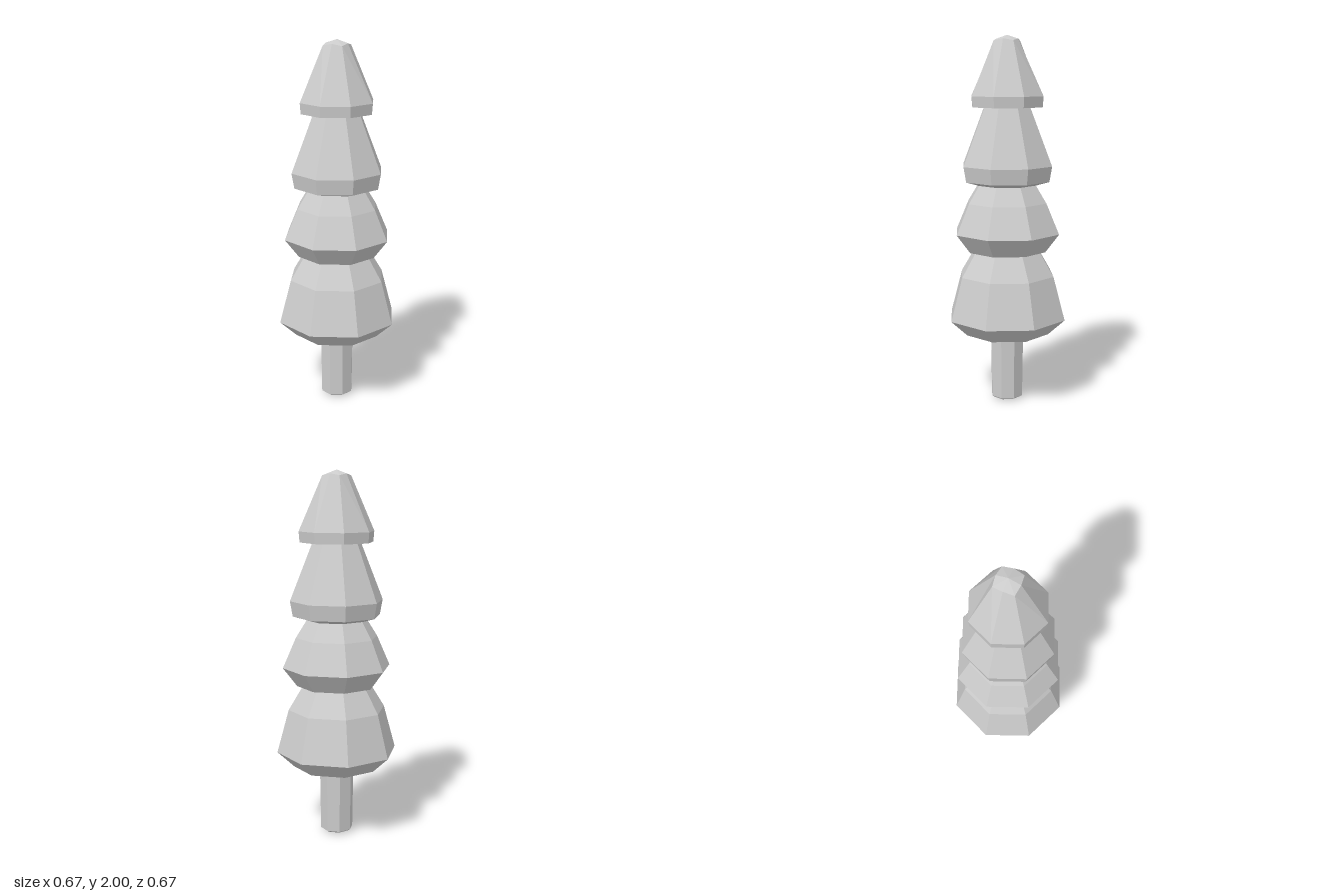
import * as THREE from 'three';

const material = new THREE.MeshStandardMaterial({ color: 0xcccccc, flatShading: true });

// Eight-sided faceted solid turned from a profile of [radius, height], bottom to top
function turned(name, profile) {
  const points = profile.map(([r, y]) => new THREE.Vector2(r, y));
  const mesh = new THREE.Mesh(new THREE.LatheGeometry(points, 8), material);
  mesh.name = name;
  return mesh;
}

// Squares off the ring at the crown: diagonal corners sit further out and lower
function squareCrown(geometry, ringY) {
  const p = geometry.attributes.position;
  for (let i = 0; i < p.count; i++) {
    const x = p.getX(i), z = p.getZ(i);
    if (Math.abs(p.getY(i) - ringY) > 0.001) continue;
    if (Math.abs(x) > 0.01 && Math.abs(z) > 0.01) {
      p.setXYZ(i, Math.sign(x) * 0.055, ringY - 0.01, Math.sign(z) * 0.055);
    }
  }
}

export function createModel() {
  const tree = new THREE.Group();
  tree.name = 'tree';

  // Trunk with a slightly bevelled foot
  tree.add(turned('trunk', [[0, 0], [0.075, 0.005], [0.09, 0.015], [0.095, 0.37]]));

  // Foliage: four stacked tiers, each flaring over a tucked underside
  const foliage = turned('foliage', [
    [0.09, 0.36], [0.24, 0.385], [0.333, 0.472], [0.268, 0.71], [0.187, 0.843],
    [0.22, 0.843], [0.297, 0.945], [0.225, 1.11], [0.165, 1.205],
    [0.24, 1.227], [0.255, 1.31], [0.13, 1.625],
    [0.2, 1.622], [0.205, 1.68], [0.062, 1.98], [0, 2],
  ]);
  squareCrown(foliage.geometry, 1.98);
  tree.add(foliage);

  return tree;
}
